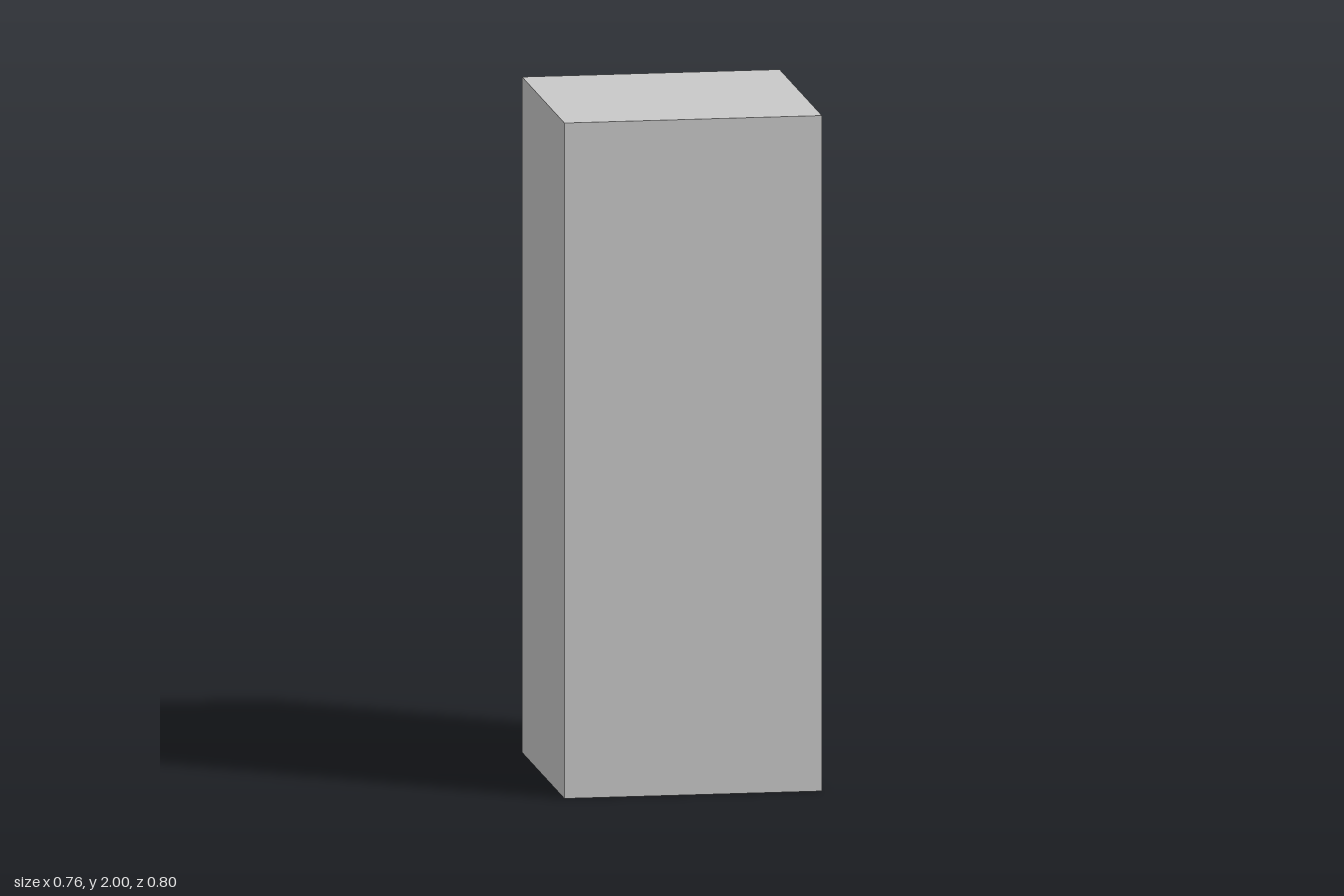
import * as THREE from 'three';

const W = 0.76, H = 2, BACK = 0.4, FRONT = -0.365, WALL = 0.027;
const DOOR_FACE = -0.35, DOOR_T = 0.022;

function rect(target, x0, y0, x1, y1) {
  target.moveTo(x0, y0);
  target.lineTo(x1, y0);
  target.lineTo(x1, y1);
  target.lineTo(x0, y1);
  target.closePath();
  return target;
}

// Rectangular plate with a rectangular hole, extruded along z
function holedPlate(outer, hole, z0, depth) {
  const shape = rect(new THREE.Shape(), ...outer);
  shape.holes.push(rect(new THREE.Path(), ...hole));
  const geo = new THREE.ExtrudeGeometry(shape, { depth, bevelEnabled: false });
  geo.translate(0, 0, z0);
  return geo;
}

export function createModel() {
  const metal = new THREE.MeshStandardMaterial({ color: 0xc8c8c8 });
  metal.name = 'greyMetal';
  const black = new THREE.MeshStandardMaterial({ color: 0x0a0a0a });
  black.name = 'blackKnob';

  const model = new THREE.Group();
  model.name = 'locker';
  const add = (parent, name, geo, mat, x = 0, y = 0, z = 0) => {
    const mesh = new THREE.Mesh(geo, mat);
    mesh.name = name;
    mesh.position.set(x, y, z);
    parent.add(mesh);
    return mesh;
  };

  // Hollow cabinet: open shell plus closing panel
  const inner = [-W / 2 + WALL, WALL, W / 2 - WALL, H - WALL];
  add(model, 'cabinetShell',
    holedPlate([-W / 2, 0, W / 2, H], inner, FRONT, BACK - WALL - FRONT), metal);
  add(model, 'closedPanel', new THREE.BoxGeometry(W, H, WALL), metal, 0, H / 2, BACK - WALL / 2);

  // Recessed door with vent opening
  const door = new THREE.Group();
  door.name = 'door';
  model.add(door);
  const gap = 0.004, ventX = 0.185, ventBottom = 1.605, ventTop = 1.855;
  add(door, 'doorPanel', holedPlate(
    [inner[0] + gap, inner[1] + gap, inner[2] - gap, inner[3] - gap],
    [-ventX, ventBottom, ventX, ventTop], DOOR_FACE, DOOR_T), metal);

  // Louvres slope down towards the outside
  const slats = 5, pitch = (ventTop - ventBottom) / slats;
  for (let i = 0; i < slats; i++) {
    const slat = add(door, 'ventSlat', new THREE.BoxGeometry(ventX * 2, 0.005, 0.038), metal,
      0, ventBottom + pitch * (i + 0.5), DOOR_FACE + 0.018);
    slat.rotation.x = -0.55;
  }

  // Hinges: leaf plate and pin barrel
  for (const y of [0.55, 1.387]) {
    const hinge = new THREE.Group();
    hinge.name = 'hinge';
    hinge.position.y = y;
    model.add(hinge);
    add(hinge, 'hingeLeaf', new THREE.BoxGeometry(0.039, 0.25, 0.024), metal, 0.33, 0, -0.362);
    add(hinge, 'hingeBarrel', new THREE.CylinderGeometry(0.012, 0.012, 0.162, 24), metal, 0.336, 0, -0.381);
  }

  // Stepped round knob
  const knob = new THREE.Group();
  knob.name = 'knob';
  knob.position.set(-0.255, 1, 0);
  model.add(knob);
  for (const [name, r, z0, z1] of [['knobBase', 0.064, DOOR_FACE, -0.387], ['knobDial', 0.051, -0.387, -0.4]]) {
    const geo = new THREE.CylinderGeometry(r, r, z0 - z1, 48);
    geo.rotateX(-Math.PI / 2);
    add(knob, name, geo, black, 0, 0, (z0 + z1) / 2);
  }
  return model;
}
